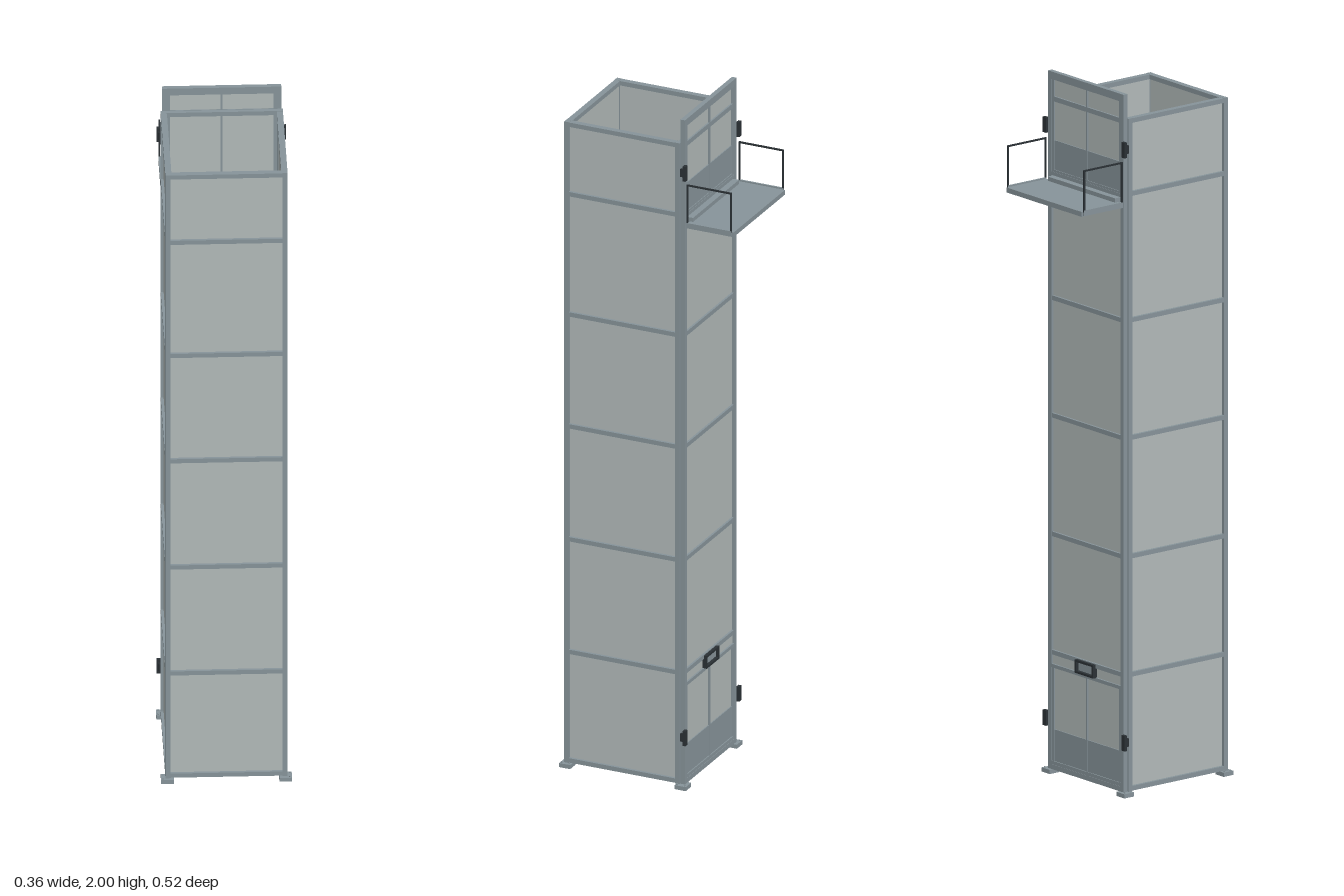
import * as THREE from 'three';

export function createModel() {
  const root = new THREE.Group();
  const mat = (name, color) => {
    const m = new THREE.MeshStandardMaterial({ color });
    m.name = name;
    return m;
  };
  const steel = mat('steel grey', 0x87949a);
  const sheet = mat('pale panel grey', 0xb2bab9);
  const dark = mat('dark fittings', 0x2b3135);

  // box given by its minimum and maximum on each axis
  function box(name, m, x0, x1, y0, y1, z0, z1, parent = root) {
    const mesh = new THREE.Mesh(new THREE.BoxGeometry(x1 - x0, y1 - y0, z1 - z0), m);
    mesh.position.set((x0 + x1) / 2, (y0 + y1) / 2, (z0 + z1) / 2);
    mesh.name = name;
    parent.add(mesh);
    return mesh;
  }
  // the same box on both sides, mirrored in x
  function pair(name, m, x0, x1, y0, y1, z0, z1, parent = root) {
    box(name, m, x0, x1, y0, y1, z0, z1, parent);
    box(name, m, -x1, -x0, y0, y1, z0, z1, parent);
  }

  const W = 0.168, ZF = 0.252, ZB = -0.1, TOP = 1.93, P = 0.014;
  const railY = [0.02, 0.345, 0.682, 1.02, 1.355, 1.715, 1.923];

  // corner posts
  pair('frontPost', steel, W - P, W, 0.012, TOP, ZF - P, ZF);
  pair('backPost', steel, W - P, W, 0.012, TOP, ZB, ZB + P);

  // horizontal rails around the tower
  railY.forEach((y, i) => {
    const h = 0.0065, d = 0.017;
    box('frontRail', steel, -W + P, W - P, y - h, y + h, ZF - d, ZF);
    pair('sideRail', steel, W - d, W, y - h, y + h, ZB + P, ZF - P);
    box('backRail', steel, -W + P, W - P, y - h, y + h, ZB, ZB + 0.012);
    // wall sheets set back between the rails
    if (i === railY.length - 1) return;
    const a = y + h, b = railY[i + 1] - h;
    box('frontPanel', sheet, -W + P, W - P, a, b, ZF - 0.012, ZF - 0.008);
    pair('sidePanel', sheet, W - 0.012, W - 0.008, a, b, ZB + P, ZF - P);
    if (i > 0 && i < 5) box('backPanel', sheet, -W + P, W - P, a, b, ZB - 0.006, ZB - 0.002);
  });

  // floor and its small support tabs
  box('floor', sheet, -0.148, 0.148, 0.016, 0.022, -0.088, 0.232);
  for (const z of [-0.092, 0.068, 0.232]) {
    pair('floorTab', steel, 0.146, 0.154, 0.014, 0.024, z - 0.004, z + 0.004);
  }

  // feet with bolts
  for (const sx of [-1, 1]) {
    for (const z of [0.245, -0.107]) {
      box('foot', steel, sx * 0.1625 - 0.0175, sx * 0.1625 + 0.0175, 0, 0.012, z - 0.017, z + 0.017);
      for (const dz of [-0.011, 0.011]) {
        const bolt = new THREE.Mesh(new THREE.CylinderGeometry(0.002, 0.002, 0.004, 10), steel);
        bolt.position.set(sx * 0.174, 0.013, z + dz);
        bolt.name = 'footBolt';
        root.add(bolt);
      }
    }
  }

  // door guide on the back, standing above the tower
  const G0 = -0.114, G1 = ZB;
  pair('doorGuide', steel, 0.15, 0.164, 0.012, 2, G0, G1);
  box('guideTopRail', steel, -0.15, 0.15, 1.986, 2, G0, G1);
  for (const y of railY.slice(1, 6)) {
    box('guideRail', steel, -0.15, 0.15, y - 0.0065, y + 0.0065, G0 + 0.002, G1);
  }
  box('guideSill', steel, -0.15, 0.15, 0.012, 0.026, G0, G1);

  // a door with window, centre bar, kick plate and latches
  function door(name, y0, y1, latchY) {
    const g = new THREE.Group();
    g.name = name;
    root.add(g);
    box('doorSheet', sheet, -0.148, 0.148, y0, y1, -0.107, -0.103, g);
    box('kickPlate', steel, -0.142, 0.142, y0 + 0.008, y0 + 0.1, -0.11, -0.106, g);
    box('centreBar', steel, -0.003, 0.003, y0, y1, -0.112, -0.1, g);
    pair('doorStile', steel, 0.142, 0.15, y0, y1, -0.112, -0.101, g);
    box('doorBottomRail', steel, -0.15, 0.15, y0, y0 + 0.01, -0.113, -0.101, g);
    box('doorTopRail', steel, -0.15, 0.15, y1 - 0.01, y1, -0.113, -0.101, g);
    pair('latchPlate', dark, 0.164, 0.178, latchY - 0.022, latchY + 0.022, -0.122, -0.113, g);
    pair('latchPin', dark, 0.168, 0.174, latchY - 0.012, latchY + 0.012, -0.113, -0.104, g);
  }
  door('lowerDoor', 0.026, 0.312, 0.155);
  door('upperDoor', 1.705, 1.988, 1.845);
  box('upperDoorRail', steel, -0.142, 0.142, 1.916, 1.93, -0.112, -0.101);
  box('handleBacking', sheet, -0.15, 0.15, 0.312, 0.338, -0.108, -0.104);

  // pull handle above the lower door
  box('handlePlate', steel, -0.034, 0.034, 0.318, 0.342, -0.113, -0.106);
  for (const y of [0.314, 0.346]) box('handleBar', dark, -0.04, 0.04, y - 0.003, y + 0.003, -0.121, -0.108);
  pair('handleEnd', dark, 0.034, 0.04, 0.314, 0.346, -0.121, -0.108);

  // landing shelf: tray with a folded edge
  box('shelfTray', steel, -0.163, 0.163, 1.682, 1.692, -0.262, -0.12);
  pair('shelfSideLip', steel, 0.163, 0.168, 1.68, 1.696, -0.257, -0.12);
  box('shelfEndLip', steel, -0.163, 0.163, 1.678, 1.69, -0.262, -0.256);
  box('shelfMount', steel, -0.146, 0.146, 1.68, 1.704, -0.13, -0.11);

  // thin side guards of the shelf
  const r = 0.0022, x = 0.1655;
  for (const z of [-0.255, -0.122]) pair('guardUpright', dark, x - r, x + r, 1.69, 1.81, z - r, z + r);
  pair('guardTopRod', dark, x - r, x + r, 1.808 - r, 1.808 + r, -0.255, -0.122);

  return root;
}
